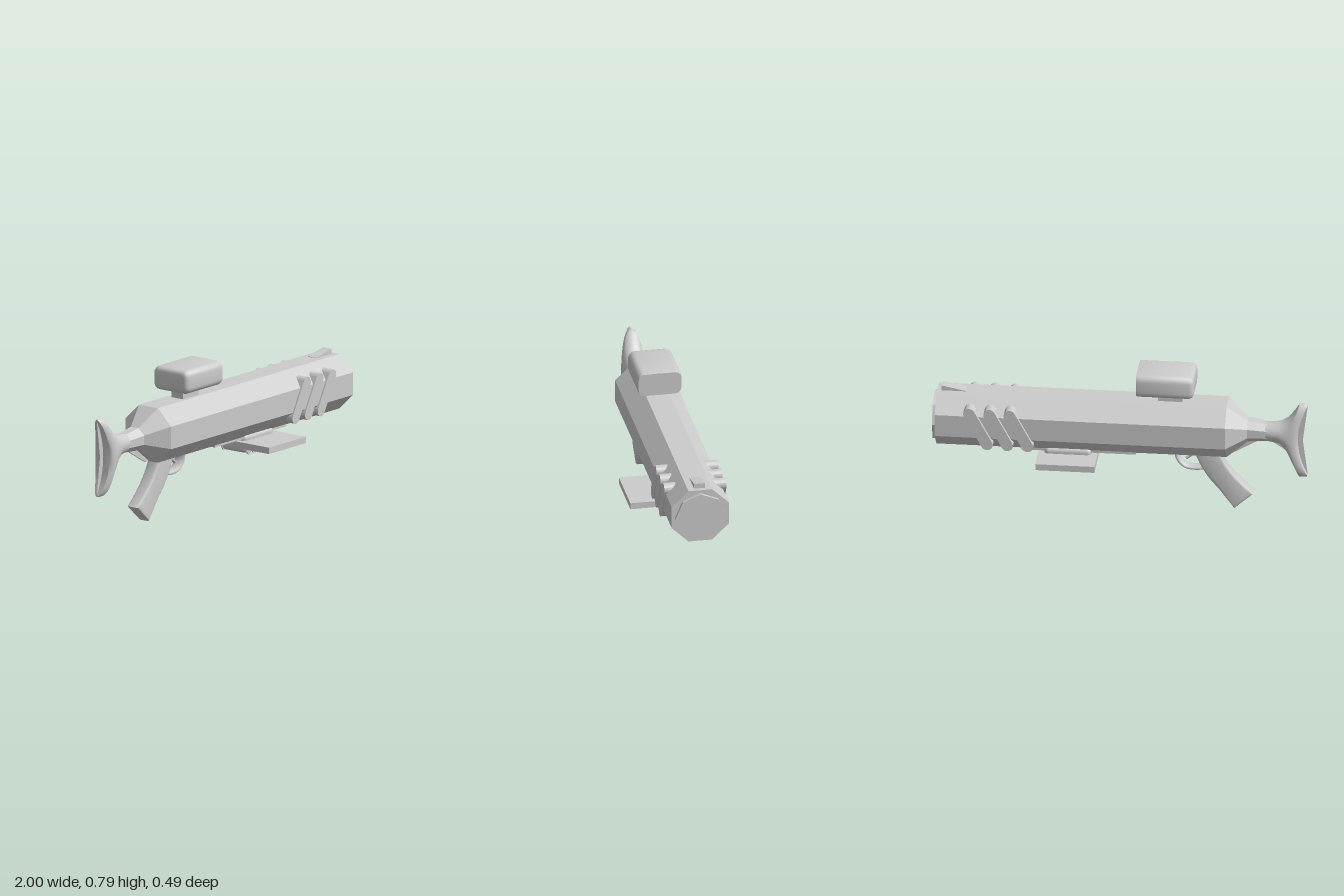
import * as THREE from 'three';
import { toCreasedNormals, mergeVertices } from 'three/addons/utils/BufferGeometryUtils.js';
import { RoundedBoxGeometry } from 'three/addons/geometries/RoundedBoxGeometry.js';

const Z = -0.025; // centre plane of the body
const mat = new THREE.MeshStandardMaterial({ color: 0xcccccc, side: THREE.DoubleSide });
const V = (x, y, z) => new THREE.Vector3(x, y, z);

// Skin a list of rings (ordered by rising x) and cap both ends
function loft(rings, crease) {
  const n = rings[0].length, pos = [], tri = (...p) => p.forEach((v) => pos.push(v.x, v.y, v.z));
  for (let i = 0; i < rings.length - 1; i++) {
    for (let j = 0; j < n; j++) {
      const k = (j + 1) % n, a = rings[i], b = rings[i + 1];
      tri(a[j], b[j], a[k]);
      tri(b[j], b[k], a[k]);
    }
  }
  [rings[0], rings[rings.length - 1]].forEach((r, end) => {
    const c = r.reduce((s, p) => s.add(p), V(0, 0, 0)).divideScalar(n);
    for (let j = 0; j < n; j++) {
      const k = (j + 1) % n;
      end ? tri(c, r[k], r[j]) : tri(c, r[j], r[k]);
    }
  });
  const g = new THREE.BufferGeometry();
  g.setAttribute('position', new THREE.Float32BufferAttribute(pos, 3));
  return toCreasedNormals(mergeVertices(g), crease);
}

// Oval or polygon ring; bow pulls its top and bottom back along -x
function ring(n, x, yc, hy, hz, { zc = Z, turn = 0, bow = 0 } = {}) {
  return Array.from({ length: n }, (_, j) => {
    const a = ((j + turn) / n) * Math.PI * 2, s = Math.sin(a);
    return V(x - bow * s * s, yc + hy * s, zc + hz * Math.cos(a));
  });
}
const octagon = (x, yc, hy, hz, zc = Z) => {
  const k = 1 / Math.cos(Math.PI / 8);
  return ring(8, x, yc, hy * k, hz * k, { zc, turn: 0.5 });
};

// Rounded rectangle ring across x
function roundRing(x, yc, zc, hy, hz, r) {
  const out = [];
  for (let q = 0; q < 4; q++) {
    const sz = q === 0 || q === 3 ? 1 : -1, sy = q < 2 ? 1 : -1;
    for (let i = 0; i <= 5; i++) {
      const a = (q + i / 5) * Math.PI / 2;
      out.push(V(x, yc + sy * (hy - r) + r * Math.sin(a), zc + sz * (hz - r) + r * Math.cos(a)));
    }
  }
  return out;
}

// Side profile extruded evenly about the plane z = zc
function plate(shape, depth, zc = Z, bevel = 0) {
  const g = new THREE.ExtrudeGeometry(shape, {
    depth: depth - 2 * bevel, bevelEnabled: bevel > 0, bevelSize: bevel,
    bevelThickness: bevel, bevelOffset: -bevel, bevelSegments: 3, curveSegments: 10,
  });
  g.translate(0, 0, zc - depth / 2 + bevel);
  return toCreasedNormals(g, 0.6);
}
const poly = (pts) => new THREE.Shape(pts.map(([x, y]) => new THREE.Vector2(x, y)));

export function createModel() {
  const model = new THREE.Group();
  const add = (name, geo, x = 0, y = 0, z = 0) => {
    const m = new THREE.Mesh(geo, mat);
    m.name = name;
    m.position.set(x, y, z);
    model.add(m);
    return m;
  };
  const box = (name, x0, x1, y0, y1, z0, z1) =>
    add(name, new THREE.BoxGeometry(x1 - x0, y1 - y0, z1 - z0), (x0 + x1) / 2, (y0 + y1) / 2, (z0 + z1) / 2);

  // Eight-sided body, narrowing to the neck of the stock
  add('body', loft([
    octagon(-0.82, 0.458, 0.046, 0.05, -0.033),
    octagon(-0.77, 0.46, 0.05, 0.056, -0.033),
    octagon(-0.68, 0.464, 0.06, 0.064, -0.03),
    octagon(-0.57, 0.47, 0.149, 0.155),
    octagon(0.981, 0.47, 0.149, 0.155),
  ], 0.1));
  add('muzzleCap', loft([0.97, 0.998].map((x) => ring(8, x, 0.465, 0.137, 0.138)), 0.1));

  // Crescent shoulder stock
  const s = (x, yc, hy, hz, bow) => ring(28, x, yc, hy, hz, { zc: -0.034, bow });
  add('stock', loft([
    s(-0.945, 0.415, 0.2, 0.001, 0.053),
    s(-0.945, 0.415, 0.211, 0.045, 0.055),
    s(-0.935, 0.415, 0.215, 0.058, 0.045),
    s(-0.915, 0.415, 0.213, 0.063, 0.04),
    s(-0.9, 0.425, 0.165, 0.064, 0.03),
    s(-0.878, 0.443, 0.105, 0.063, 0.02),
    s(-0.845, 0.457, 0.06, 0.06, 0.005),
    s(-0.775, 0.46, 0.051, 0.057, 0),
  ], 0.7));

  // Thin webs under the neck
  add('rearWeb', plate(poly([[-0.89, 0.345], [-0.77, 0.42], [-0.86, 0.44]]), 0.012));
  add('frontWeb', plate(poly([[-0.77, 0.42], [-0.6, 0.322], [-0.55, 0.33], [-0.64, 0.44]]), 0.012));

  // Curved grip
  const grip = new THREE.Shape();
  grip.moveTo(-0.525, 0.34);
  grip.quadraticCurveTo(-0.56, 0.22, -0.71, 0.095);
  grip.lineTo(-0.607, 0.003);
  grip.lineTo(-0.52, 0.12);
  grip.quadraticCurveTo(-0.43, 0.21, -0.39, 0.34);
  add('grip', plate(grip, 0.074, Z, 0.012));

  // Trigger guard and trigger, flat bands bent along a curve
  const band = (name, pts, r, widen) => {
    const path = new THREE.CatmullRomCurve3(pts.map(([x, y]) => V(x, y, 0)));
    add(name, new THREE.TubeGeometry(path, 24, r, 10), 0, 0, Z).scale.z = widen;
  };
  band('triggerGuard', [[-0.293, 0.335], [-0.305, 0.275], [-0.34, 0.237], [-0.385, 0.226], [-0.46, 0.231]], 0.012, 2.8);
  band('trigger', [[-0.378, 0.335], [-0.372, 0.295], [-0.348, 0.274]], 0.008, 1.6);

  // Sight housing, rounded toward the rear, on its mount
  const sight = (x, inset) => roundRing(x, 0.728, -0.019, 0.065 - inset, 0.118 - inset, 0.036 - inset * 0.5);
  add('sightHousing', loft([
    sight(-0.396, 0.025), sight(-0.393, 0.014), sight(-0.386, 0.006), sight(-0.37, 0), sight(-0.1, 0), sight(-0.09, 0.002),
  ], 0.6));
  box('sightMount', -0.33, -0.2, 0.61, 0.67, -0.06, 0.02);

  // Wedge front sight
  add('frontSight', plate(poly([[0.826, 0.61], [0.957, 0.61], [0.957, 0.647], [0.826, 0.621]]), 0.058));

  // Slanted ribs passing through both sides of the barrel
  const rib = new THREE.Shape(), tilt = Math.atan2(0.176, 0.096), r = 0.031;
  rib.absarc(0.58, 0.554, r, tilt - Math.PI / 2, tilt + Math.PI / 2);
  rib.absarc(0.484, 0.378, r, tilt + Math.PI / 2, tilt + Math.PI * 1.5);
  for (let i = 0; i < 3; i++) add('rib' + (i + 1), plate(rib, 0.336, -0.029), i * 0.108);

  // Rail, hand plate and the block below it
  box('lowerRail', -0.085, 0.527, 0.311, 0.33, -0.093, 0.041);
  box('handPlate', 0.12, 0.436, 0.267, 0.302, -0.246, 0.246);
  add('lowerBlock', new RoundedBoxGeometry(0.252, 0.103, 0.166, 4, 0.024), 0.278, 0.284, -0.027);

  // Scalloped strips along the block's sides
  const strip = new THREE.Shape();
  strip.moveTo(0.16, 0.3);
  strip.lineTo(0.16, 0.242);
  for (let i = 0; i < 5; i++) strip.absarc(0.1836 + i * 0.0472, 0.242, 0.0165, Math.PI, Math.PI * 2);
  strip.lineTo(0.396, 0.242);
  strip.lineTo(0.396, 0.3);
  for (const side of [-1, 1]) add(side > 0 ? 'leftStrip' : 'rightStrip', plate(strip, 0.008, -0.027 + side * 0.083));
  return model;
}
